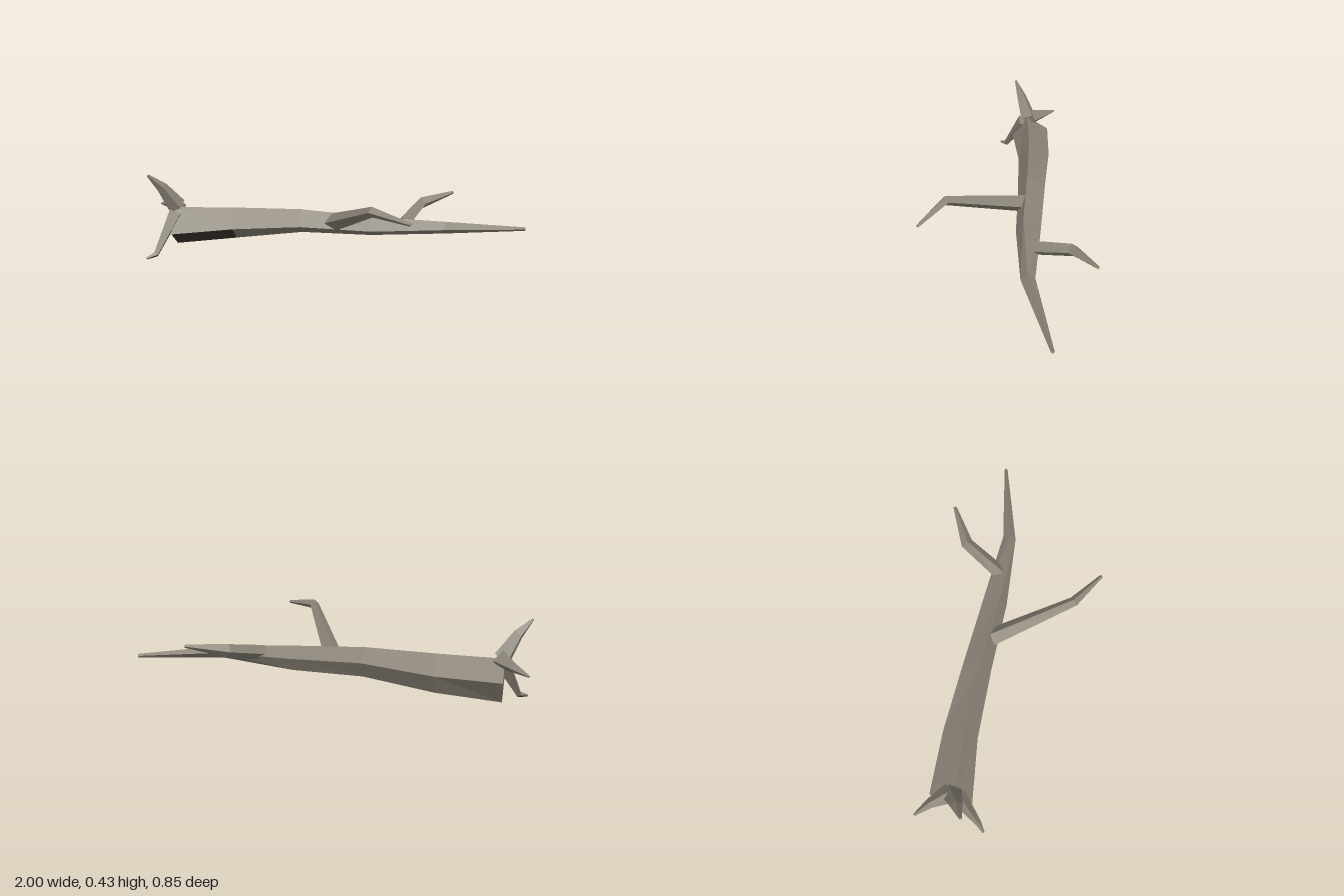
import * as THREE from 'three';

function flat(name, color) {
  const material = new THREE.MeshStandardMaterial({ color, flatShading: true });
  material.name = name;
  return material;
}
const bark = flat('weathered bark', 0x8b8478);
const dampBark = flat('damp dark bark', 0x3d362c);
const cutWood = flat('cut wood', 0xa98d68);
const heartwood = flat('heartwood', 0x9a7d68);

// Skins four-cornered rings (counter-clockwise about the direction of travel).
// dark lists the [segment, side] faces that are damp; startCap and endCap are materials.
function loft(name, rings, startCap, endCap, dark = []) {
  const geo = new THREE.BufferGeometry();
  const pos = [];
  const quad = (a, b, c, d, slot) => {
    geo.addGroup(pos.length / 3, 6, slot);
    [a, b, c, a, c, d].forEach((p) => pos.push(p.x, p.y, p.z));
  };
  for (let i = 0; i < rings.length - 1; i++) {
    for (let j = 0; j < 4; j++) {
      const k = (j + 1) % 4, a = rings[i], b = rings[i + 1];
      const damp = dark.some(([segment, side]) => segment === i && side === j);
      quad(a[j], a[k], b[k], b[j], damp ? 1 : 0);
    }
  }
  const s = rings[0], e = rings[rings.length - 1];
  quad(s[0], s[3], s[2], s[1], 2);
  quad(e[0], e[1], e[2], e[3], 3);
  geo.setAttribute('position', new THREE.Float32BufferAttribute(pos, 3));
  geo.computeVertexNormals();
  const mesh = new THREE.Mesh(geo, [bark, dampBark, startCap, endCap]);
  mesh.name = name;
  return mesh;
}

// Tapered limb with a diamond section; stations are [x, y, z, radius]
function limb(name, stations, startCap, endCap, dark) {
  const pts = stations.map((s) => new THREE.Vector3(s[0], s[1], s[2]));
  const up = new THREE.Vector3(0, 1, 0);
  const rings = pts.map((p, i) => {
    const t = new THREE.Vector3();
    if (i > 0) t.add(p.clone().sub(pts[i - 1]).normalize());
    if (i < pts.length - 1) t.add(pts[i + 1].clone().sub(p).normalize());
    t.normalize();
    const u = up.clone().cross(t).normalize();
    const v = t.clone().cross(u);
    return [0, 1, 2, 3].map((j) => p.clone()
      .addScaledVector(u, Math.cos(j * Math.PI / 2) * stations[i][3])
      .addScaledVector(v, Math.sin(j * Math.PI / 2) * stations[i][3]));
  });
  return loft(name, rings, startCap, endCap, dark);
}

// Trunk ring from its top, front, bottom and back edges
function trunkRing([x, topY, topZ, frontY, frontZ, bottomY, backZ]) {
  return [
    new THREE.Vector3(x, topY, topZ),
    new THREE.Vector3(x, frontY, frontZ),
    new THREE.Vector3(x, bottomY, frontZ + backZ - topZ),
    new THREE.Vector3(x, bottomY + topY - frontY, backZ),
  ];
}

export function createModel() {
  const model = new THREE.Group();
  model.name = 'fallenTree';

  // Long tapering trunk: x, topY, topZ, frontY, frontZ, bottomY, backZ
  model.add(loft('trunk', [
    [-0.88, 0.245, -0.111, 0.117, -0.024, 0.036, -0.235],
    [-0.56, 0.245, -0.12, 0.14, -0.06, 0.063, -0.235],
    [-0.2, 0.243, -0.108, 0.157, -0.06, 0.105, -0.205],
    [0.17, 0.212, -0.087, 0.14, -0.05, 0.098, -0.176],
    [0.56, 0.185, -0.106, 0.148, -0.073, 0.12, -0.142],
    [1.0, 0.134, -0.208, 0.123, -0.2, 0.114, -0.217],
  ].map(trunkRing), heartwood, cutWood, [[0, 1]]));

  // Bent branches
  model.add(limb('frontBranch', [
    [-0.03, 0.178, -0.09, 0.048], [0.18, 0.33, 0.296, 0.026], [0.358, 0.301, 0.415, 0.009],
  ], bark, cutWood));
  model.add(limb('backBranch', [
    [0.338, 0.168, -0.112, 0.04], [0.447, 0.237, -0.318, 0.033], [0.627, 0.277, -0.418, 0.009],
  ], bark, cutWood));

  // Roots fanning out from the thick end
  model.add(limb('upperRoot', [
    [-0.865, 0.248, -0.118, 0.05], [-0.93, 0.36, -0.075, 0.029], [-0.993, 0.43, -0.04, 0.006],
  ], cutWood, bark));
  model.add(limb('lowerRoot', [
    [-0.87, 0.22, -0.09, 0.042], [-0.955, 0.02, 0.018, 0.016], [-0.995, 0.006, 0.052, 0.006],
  ], bark, bark, [[1, 2], [1, 3]]));
  model.add(limb('backRoot', [
    [-0.865, 0.245, -0.128, 0.05], [-0.93, 0.238, -0.215, 0.024], [-0.995, 0.226, -0.277, 0.006],
  ], bark, bark));
  return model;
}
